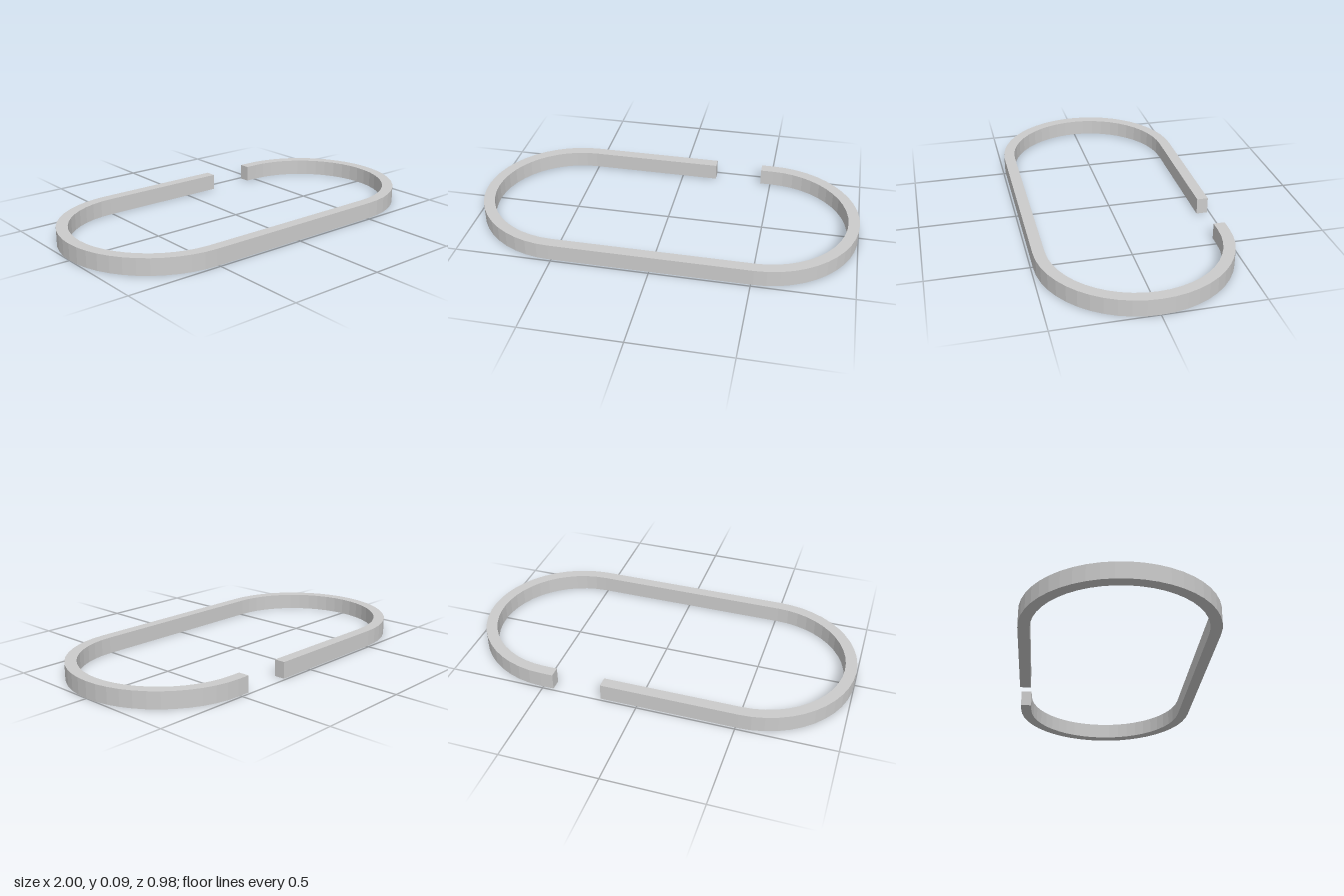
import * as THREE from 'three';

const HALF_STRAIGHT = 0.512, OUTER = 0.488, INNER = 0.43, HEIGHT = 0.085;
const GAP_LEFT = 0.445, GAP_RIGHT = 0.19, SEGMENTS = 24;

// Stadium outline at radius r, from one side of the gap round to the other
function outline(r) {
  const points = [new THREE.Vector2(GAP_LEFT, r)];
  for (const side of [1, -1]) {
    for (let i = 0; i <= SEGMENTS; i++) {
      const a = side * Math.PI / 2 - Math.PI * i / SEGMENTS;
      points.push(new THREE.Vector2(side * HALF_STRAIGHT + r * Math.cos(a), r * Math.sin(a)));
    }
  }
  points.push(new THREE.Vector2(GAP_RIGHT, r));
  return points;
}

export function createModel() {
  const group = new THREE.Group();
  group.name = 'openOvalLink';

  // Flat band with a gap in its back straight, extruded upwards
  const shape = new THREE.Shape([...outline(OUTER), ...outline(INNER).reverse()]);
  const geometry = new THREE.ExtrudeGeometry(shape, { depth: HEIGHT, bevelEnabled: false });
  geometry.rotateX(-Math.PI / 2);

  const band = new THREE.Mesh(
    geometry,
    new THREE.MeshStandardMaterial({ color: 0xcccccc, flatShading: true })
  );
  band.name = 'ovalBand';
  group.add(band);
  return group;
}
